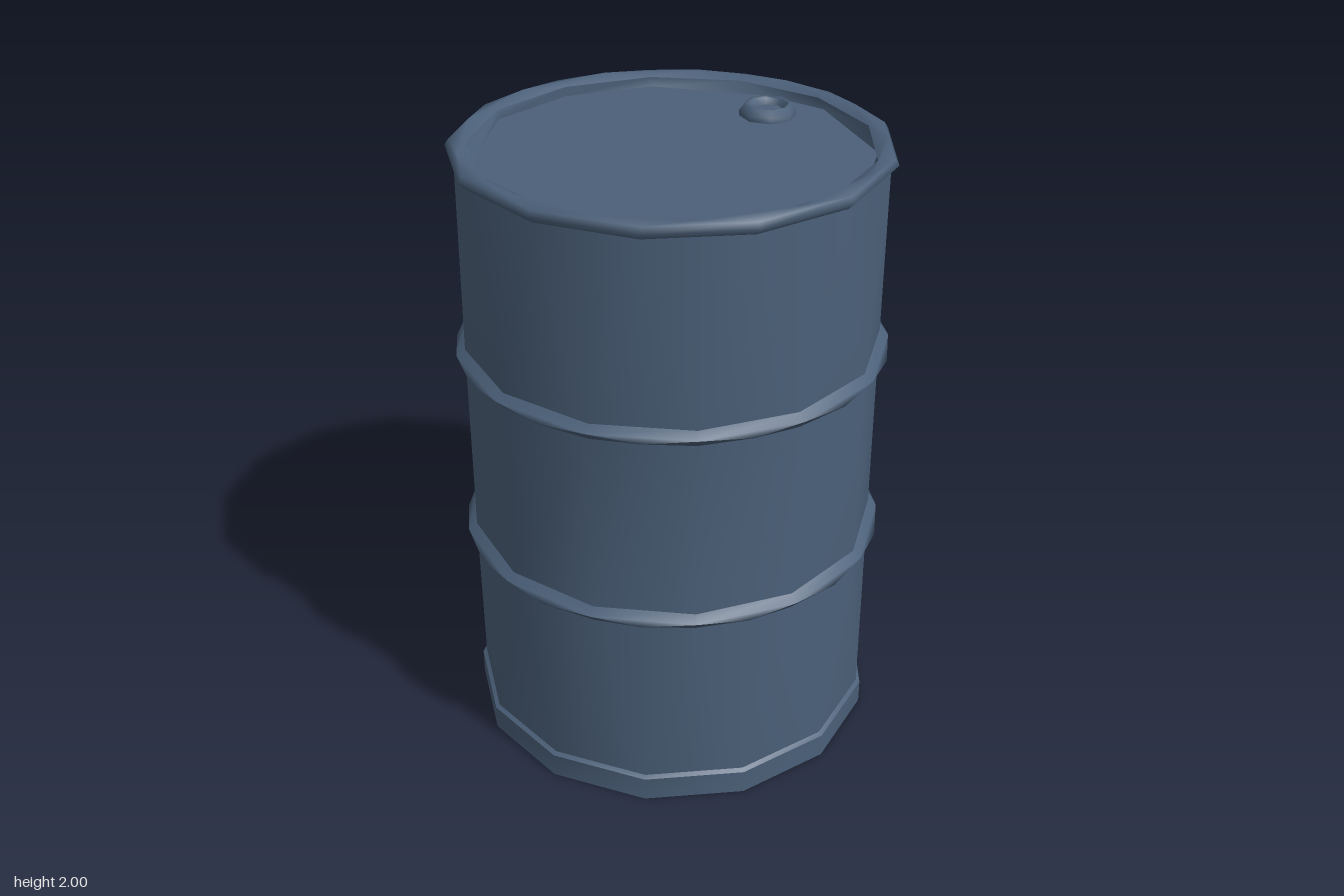
import * as THREE from 'three';

const SIDES = 13;
const STEP = (Math.PI * 2) / SIDES;
const F = 0, B = 0.5; // corner of a ring points to the front / to the back

// One ring of 13 corners
function ring(r, y, phase) {
  const points = Array.from({ length: SIDES }, (_, i) => {
    const a = (i + phase) * STEP;
    return [r * Math.sin(a), y, r * Math.cos(a)];
  });
  return { points, phase };
}

// Skin between rings, from bottom outside to top inside
function loft(rings) {
  const index = [];
  for (let k = 0; k < rings.length - 1; k++) {
    const a = k * SIDES, b = a + SIDES;
    const leaning = rings[k].phase < rings[k + 1].phase;
    for (let i = 0; i < SIDES; i++) {
      const j = (i + 1) % SIDES;
      if (leaning) index.push(a + i, a + j, b + i, a + j, b + j, b + i);
      else index.push(a + i, a + j, b + j, a + i, b + j, b + i);
    }
  }
  const geometry = new THREE.BufferGeometry();
  const corners = rings.flatMap((r) => r.points).flat();
  geometry.setAttribute('position', new THREE.Float32BufferAttribute(corners, 3));
  geometry.setIndex(index);
  geometry.computeVertexNormals();
  return geometry;
}

export function createModel() {
  const model = new THREE.Group();
  const steel = new THREE.MeshStandardMaterial({ color: 0x4b6079 });
  steel.name = 'blueSteel';

  function add(name, geometry) {
    const mesh = new THREE.Mesh(geometry, steel);
    mesh.name = name;
    model.add(mesh);
    return mesh;
  }

  // Wall panels between the ribs
  const R = 0.657;
  add('lowerWall', loft([ring(R, 0.08, F), ring(R, 0.68, B)]));
  add('middleWall', loft([ring(R, 0.72, B), ring(R, 1.32, B)]));
  add('upperWall', loft([ring(R, 1.36, B), ring(R, 1.955, F)]));

  // Two rolled ribs
  for (const [name, y] of [['lowerRib', 0.7], ['upperRib', 1.34]]) {
    add(name, loft([
      ring(R, y - 0.025, B),
      ring(0.684, y - 0.005, F),
      ring(0.684, y + 0.005, B),
      ring(R, y + 0.025, B),
    ]));
  }

  // Foot band with a recessed underside
  add('footBand', loft([ring(0.67, 0, F), ring(0.67, 0.08, F)]));
  add('footBandTop', loft([ring(0.67, 0.08, F), ring(0.65, 0.094, F)]));
  add('footLip', loft([ring(0.65, 0, F), ring(0.67, 0, F)]));
  add('footInnerWall', loft([ring(0.645, 0.025, F), ring(0.65, 0, F)]));
  add('underside', loft([ring(0, 0.025, F), ring(0.645, 0.025, F)]));

  // Rolled top rim
  const rimInner = ring(0.617, 1.982, F);
  add('topRim', loft([
    ring(R, 1.95, F),
    ring(0.68, 1.972, F),
    ring(0.668, 1.99, F),
    ring(0.642, 2, B),
    rimInner,
  ]));

  // Sunken lid with an uneven edge, and the wall down to it
  const lidY = 1.95;
  const outline = [
    [0, 0.6], [0.15, 0.6], [0.41, 0.46], [0.61, 0.1], [0.59, -0.12], [0.41, -0.46], [0.15, -0.6],
    [-0.15, -0.6], [-0.46, -0.38], [-0.51, -0.32], [-0.57, 0.18], [-0.46, 0.38], [-0.15, 0.6],
  ];
  const lidEdge = { points: outline.map(([x, z]) => [x, lidY, z]), phase: F };
  add('lidWall', loft([rimInner, lidEdge]));
  add('lid', loft([lidEdge, ring(0, lidY, F)]));

  // Filler cap: rounded collar and a small plug
  const collar = [[0.09, 0], [0.09, 0.018], [0.074, 0.04], [0.06, 0.036], [0.052, 0.012]];
  const cap = new THREE.LatheGeometry(collar.map(([x, y]) => new THREE.Vector2(x, y)), 8);
  add('capCollar', cap).position.set(0.45, lidY, 0);
  const plug = new THREE.CylinderGeometry(0.056, 0.056, 0.016, 8);
  add('capPlug', plug).position.set(0.45, lidY + 0.008, 0);

  return model;
}
